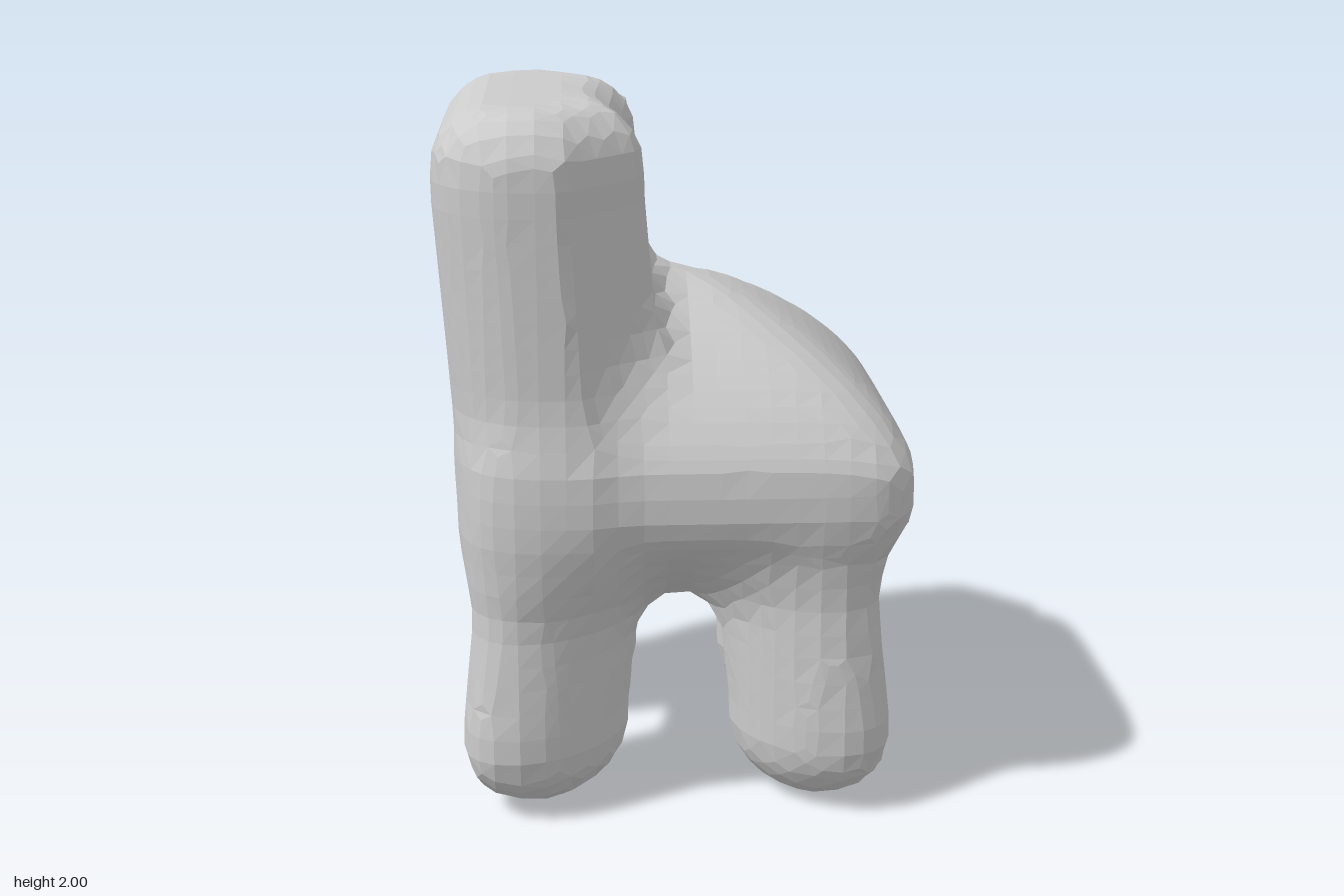
import * as THREE from 'three';

// Smooth union of two distances, blended over width k
const blend = (a, b, k) => {
  const h = Math.max(k - Math.abs(a - b), 0) / k;
  return Math.min(a, b) - h * h * k / 4;
};

// Leg: round-ended column, oval in plan with its long axis on the diagonal,
// leaning inward as it rises
const leg = (cx, cz, long) => (x, y, z) => {
  const wide = 0.185, foot = 0.2;
  const sx = Math.sign(cx), sz = Math.sign(cz);
  const lean = 0.1 * THREE.MathUtils.clamp(y - 0.25, 0, 0.5);
  const dx = (x - cx) * sx + lean, dz = (z - cz) * sz + lean;
  const u = (dx + dz) * Math.SQRT1_2 / long;
  const v = (dx - dz) * Math.SQRT1_2 / wide;
  const w = (y < foot ? foot - y : Math.max(0, y - 0.65)) / foot;
  return (Math.hypot(u, v, w) - 1) * 0.2;
};

// Seat: pillowy mound on an upright rim, squarish in plan and rounder on top
const seat = (x, y, z) => {
  const u = x > 0 ? x / (0.65 + 0.02 * z) : -x / 0.56, t = Math.abs(z) / 0.585;
  const n = 8 - 4.5 * THREE.MathUtils.clamp((y - 1) / 0.4, 0, 1);
  const r = Math.pow(Math.pow(u, n) + Math.pow(t, n), 1 / n);
  const v = Math.max(0, Math.abs(y - 0.94) - 0.06) / (y > 0.94 ? 0.48 : 0.37);
  return (Math.pow(Math.pow(r, 1.45) + Math.pow(v, 1.45), 1 / 1.45) - 1) * 0.5;
};

// Backrest: thick slab with broad corners, leaning slightly outward, its front
// corners cut off and its front slightly hollowed near the top
const backrest = (x, y, z) => {
  const side = 0.26, rim = 0.17;
  const rise = THREE.MathUtils.smoothstep(y, 1.45, 1.9);
  const hollow = 0.05 * Math.exp(-((z / 0.2) ** 2)) * rise;
  const dx = x + 0.38 - 0.07 * Math.max(0, 1.75 - y);
  const dz = Math.abs(z) + (z < 0 ? 0.05 * rise : 0);
  const qx = Math.abs(dx + hollow / 2) + hollow / 2 - (0.29 - side);
  const qz = dz - (0.575 - side);
  const oval = Math.hypot(Math.max(qx, 0), Math.max(qz, 0)) + Math.min(Math.max(qx, qz), 0) - side;
  const plan = Math.max(oval, (dx + dz - 0.64) * Math.SQRT1_2);
  const a = plan + rim, b = Math.abs(y - 1.33) - 0.67 + rim;
  return Math.hypot(Math.max(a, 0), Math.max(b, 0)) + Math.min(Math.max(a, b), 0) - rim;
};

const PARTS = [
  { name: 'seat', field: seat },
  { name: 'backrest', field: backrest },
  { name: 'frontLeftLeg', field: leg(0.375, 0.36, 0.26) },
  { name: 'backLeftLeg', field: leg(0.38, -0.35, 0.265) },
  { name: 'frontRightLeg', field: leg(-0.38, 0.365, 0.28) },
  { name: 'backRightLeg', field: leg(-0.35, -0.345, 0.29) },
];

const skin = (x, y, z) => {
  const d = PARTS.map((p) => p.field(x, y, z));
  const legs = Math.min(d[2], d[3], d[4], d[5]);
  return blend(blend(d[0], d[1], 0.13), legs, 0.18);
};

// Slide a point onto the skin along the gradient
const settle = (p) => {
  const e = 0.004;
  for (let i = 0; i < 3; i++) {
    const f = skin(p.x, p.y, p.z);
    const g = new THREE.Vector3(
      skin(p.x + e, p.y, p.z) - skin(p.x - e, p.y, p.z),
      skin(p.x, p.y + e, p.z) - skin(p.x, p.y - e, p.z),
      skin(p.x, p.y, p.z + e) - skin(p.x, p.y, p.z - e)).divideScalar(2 * e);
    p.addScaledVector(g, -THREE.MathUtils.clamp(f / Math.max(g.lengthSq(), 0.1), -0.03, 0.03));
  }
  return p;
};

export function createModel() {
  const step = 0.07, size = [23, 33, 21];
  const origin = [-0.77, -0.12, -0.7];
  const at = (i, j, k) => [origin[0] + i * step, origin[1] + j * step, origin[2] + k * step];
  const id = (i, j, k) => (i * size[1] + j) * size[2] + k;
  const eachNode = (fn) => {
    for (let i = 0; i < size[0]; i++)
      for (let j = 0; j < size[1]; j++)
        for (let k = 0; k < size[2]; k++) fn(i, j, k);
  };
  const value = [];
  eachNode((i, j, k) => { value[id(i, j, k)] = skin(...at(i, j, k)); });

  // One skin point in every grid cell that the surface crosses
  const points = new Map();
  eachNode((i, j, k) => {
    if (i + 1 >= size[0] || j + 1 >= size[1] || k + 1 >= size[2]) return;
    const sum = new THREE.Vector3();
    let count = 0;
    for (let a = 0; a < 8; a++)
      for (let axis = 0; axis < 3; axis++) {
        if (a >> axis & 1) continue;
        const p = [i + (a & 1), j + (a >> 1 & 1), k + (a >> 2 & 1)];
        const q = p.slice();
        q[axis]++;
        const fp = value[id(...p)], fq = value[id(...q)];
        if (fp < 0 === fq < 0) continue;
        p[axis] += fp / (fp - fq);
        sum.add(new THREE.Vector3(...at(...p)));
        count++;
      }
    if (count) points.set(id(i, j, k), settle(sum.divideScalar(count)));
  });

  // A quad round every crossed grid edge, handed to the part it lies on
  const faces = PARTS.map(() => []);
  eachNode((i, j, k) => {
    for (let axis = 0; axis < 3; axis++) {
      const p = [i, j, k], q = [i, j, k];
      if (++q[axis] >= size[axis]) continue;
      const inside = value[id(...p)] < 0;
      if (inside === value[id(...q)] < 0) continue;
      const quad = [[1, 1], [0, 1], [0, 0], [1, 0]].map(([s, t]) => {
        const cell = p.slice();
        cell[(axis + 1) % 3] -= s;
        cell[(axis + 2) % 3] -= t;
        return points.get(id(...cell));
      });
      if (!inside) quad.reverse();
      const [A, B, C, D] = quad;
      const m = A.clone().add(B).add(C).add(D).divideScalar(4);
      const d = PARTS.map((part) => part.field(m.x, m.y, m.z));
      faces[d.indexOf(Math.min(...d))].push(A, B, C, A, C, D);
    }
  });

  const group = new THREE.Group();
  group.name = 'chair';
  const material = new THREE.MeshStandardMaterial({ color: 0xcccccc, flatShading: true });
  PARTS.forEach((part, n) => {
    const geometry = new THREE.BufferGeometry().setFromPoints(faces[n]);
    geometry.computeVertexNormals();
    const mesh = new THREE.Mesh(geometry, material);
    mesh.name = part.name;
    group.add(mesh);
  });
  return group;
}
